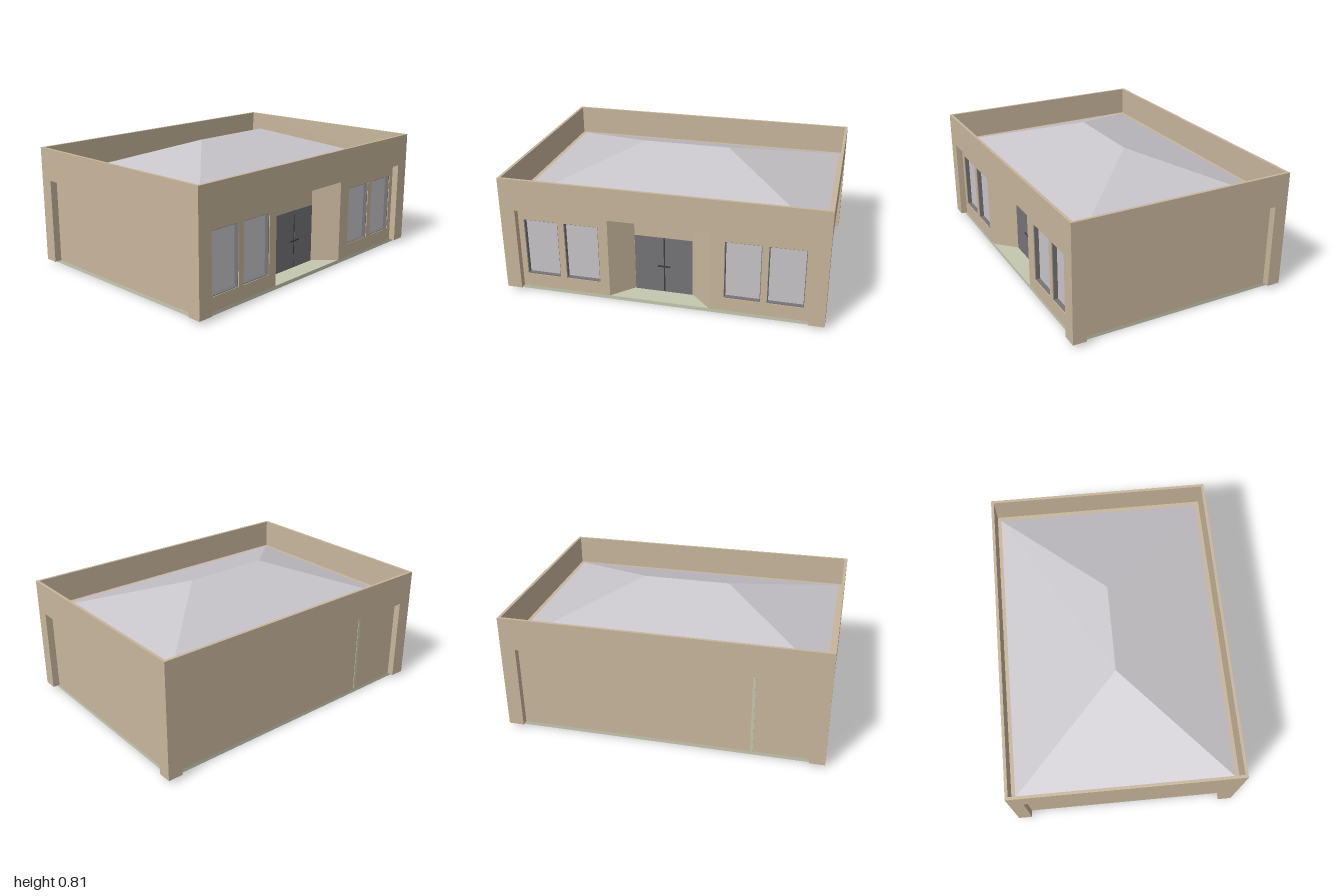
import * as THREE from 'three';

const mat = (name, color, side = THREE.FrontSide) => {
  const m = new THREE.MeshStandardMaterial({ color, side });
  m.name = name;
  return m;
};

// Closed polygon from [x, y] points
const polygon = (pts, Type = THREE.Shape) => new Type(pts.map(([x, y]) => new THREE.Vector2(x, y)));
const rect = (x0, y0, x1, y1) => [[x0, y0], [x1, y0], [x1, y1], [x0, y1]];
const extrude = (shape, depth) => new THREE.ExtrudeGeometry(shape, { depth, bevelEnabled: false });

export function createModel() {
  const group = new THREE.Group();
  const stucco = mat('tan stucco', 0xc8b69c);
  const pale = mat('pale grey', 0xc8c5ca);
  const concrete = mat('pale green concrete', 0xc5c8ae);
  const doorGrey = mat('door grey', 0x757577);
  const dark = mat('dark trim', 0x3c3c3e);

  const add = (name, geo, material) => {
    const mesh = new THREE.Mesh(geo, material);
    mesh.name = name;
    group.add(mesh);
    return mesh;
  };
  // Box given by its two opposite corners
  const box = (name, [x0, y0, z0], [x1, y1, z1], material) => {
    const m = add(name, new THREE.BoxGeometry(x1 - x0, y1 - y0, z1 - z0), material);
    m.position.set((x0 + x1) / 2, (y0 + y1) / 2, (z0 + z1) / 2);
    return m;
  };

  const W = 0.955, D = 0.675;     // recessed wall planes
  const OW = 1, OD = 0.717;       // outer planes of piers and parapet
  const floor = 0.023, head = 0.565, top = 0.77, eave = 0.58;

  box('floorSlab', [-W, 0, -D], [W, floor, D], concrete);

  // Plain side and back walls
  for (const s of [-1, 1]) {
    const x = s * (W - 0.02);
    box('sideWall', [x - 0.02, floor, -D], [x + 0.02, head, D], stucco);
  }
  box('backWall', [-W + 0.04, floor, -D], [W - 0.04, head, -D + 0.04], stucco);
  box('backWallStrip', [-0.564, floor, -D - 0.003], [-0.546, head, -D + 0.003], concrete);

  // Front wall: one panel each side of the entrance, with window openings
  const y0 = 0.11, y1 = 0.49, wt = 0.04;
  const frontPanel = (xa, xb, windows) => {
    const shape = polygon(rect(xa, floor, xb, head));
    for (const [a, b] of windows) {
      shape.holes.push(polygon(rect(a, y0, b, y1), THREE.Path));
      // Thin lining around the opening, with the pane at the back
      const ring = polygon(rect(a, y0, b, y1));
      const t = 0.004;
      ring.holes.push(polygon(rect(a + t, y0 + t, b - t, y1 - t), THREE.Path));
      add('windowLining', extrude(ring, 0.035), doorGrey).position.z = D - wt;
      box('windowPane', [a, y0, D - wt], [b, y1, D - wt + 0.008], pale);
    }
    add('frontWall', extrude(shape, wt), stucco).position.z = D - wt;
  };
  frontPanel(-W + 0.04, -0.33, [[-0.87, -0.65], [-0.61, -0.39]]);
  frontPanel(0.3, W - 0.04, [[0.39, 0.61], [0.65, 0.87]]);

  // Splayed entrance alcove, drawn in plan (y = -z) and raised
  const back = 0.545;
  const plan = polygon([
    [-0.33, -D], [-0.2, -back], [0.17, -back], [0.3, -D],
    [0.33, -D + 0.02], [0.19, -back + 0.04], [-0.22, -back + 0.04], [-0.36, -D + 0.02],
  ]);
  const alcove = extrude(plan, head - floor);
  alcove.rotateX(-Math.PI / 2);
  add('entranceAlcove', alcove, stucco).position.y = floor;

  // Double door with centre joint and push bar
  const dz = back + 0.004;
  box('doorLeaf', [-0.198, floor, back - 0.01], [-0.014, 0.4, dz], doorGrey);
  box('doorLeaf', [-0.006, floor, back - 0.01], [0.168, 0.4, dz], doorGrey);
  box('doorJoint', [-0.014, floor, back - 0.01], [-0.006, 0.4, dz - 0.001], dark);
  box('doorHandle', [-0.05, 0.2, dz], [0.03, 0.208, dz + 0.008], dark);

  // Corner piers
  for (const sx of [-1, 1]) for (const sz of [-1, 1]) {
    const pier = add('cornerPier', new THREE.BoxGeometry(0.095, head - floor, 0.087), stucco);
    pier.position.set(sx * (OW - 0.0475), (head + floor) / 2, sz * (OD - 0.0435));
  }

  // Parapet band and the ledge inside it
  const band = polygon(rect(-OW, -OD, OW, OD));
  band.holes.push(polygon(rect(-OW + 0.018, -OD + 0.018, OW - 0.018, OD - 0.018), THREE.Path));
  const bandGeo = extrude(band, top - head);
  bandGeo.rotateX(-Math.PI / 2);
  add('parapet', bandGeo, stucco).position.y = head;
  box('roofLedge', [-OW + 0.018, head, -OD + 0.018], [OW - 0.018, eave - 0.002, OD - 0.018], stucco);

  // Hip roof: four eave corners and two ridge ends
  const a = [-W, eave, D], b = [W, eave, D], c = [W, eave, -D], d = [-W, eave, -D];
  const r0 = [-0.28, 0.814, 0], r1 = [0.28, 0.814, 0];
  const tris = [a, b, r1, a, r1, r0, b, c, r1, c, d, r0, c, r0, r1, d, a, r0];
  const roof = new THREE.BufferGeometry();
  roof.setAttribute('position', new THREE.Float32BufferAttribute(tris.flat(), 3));
  roof.computeVertexNormals();
  add('hipRoof', roof, pale);

  return group;
}
